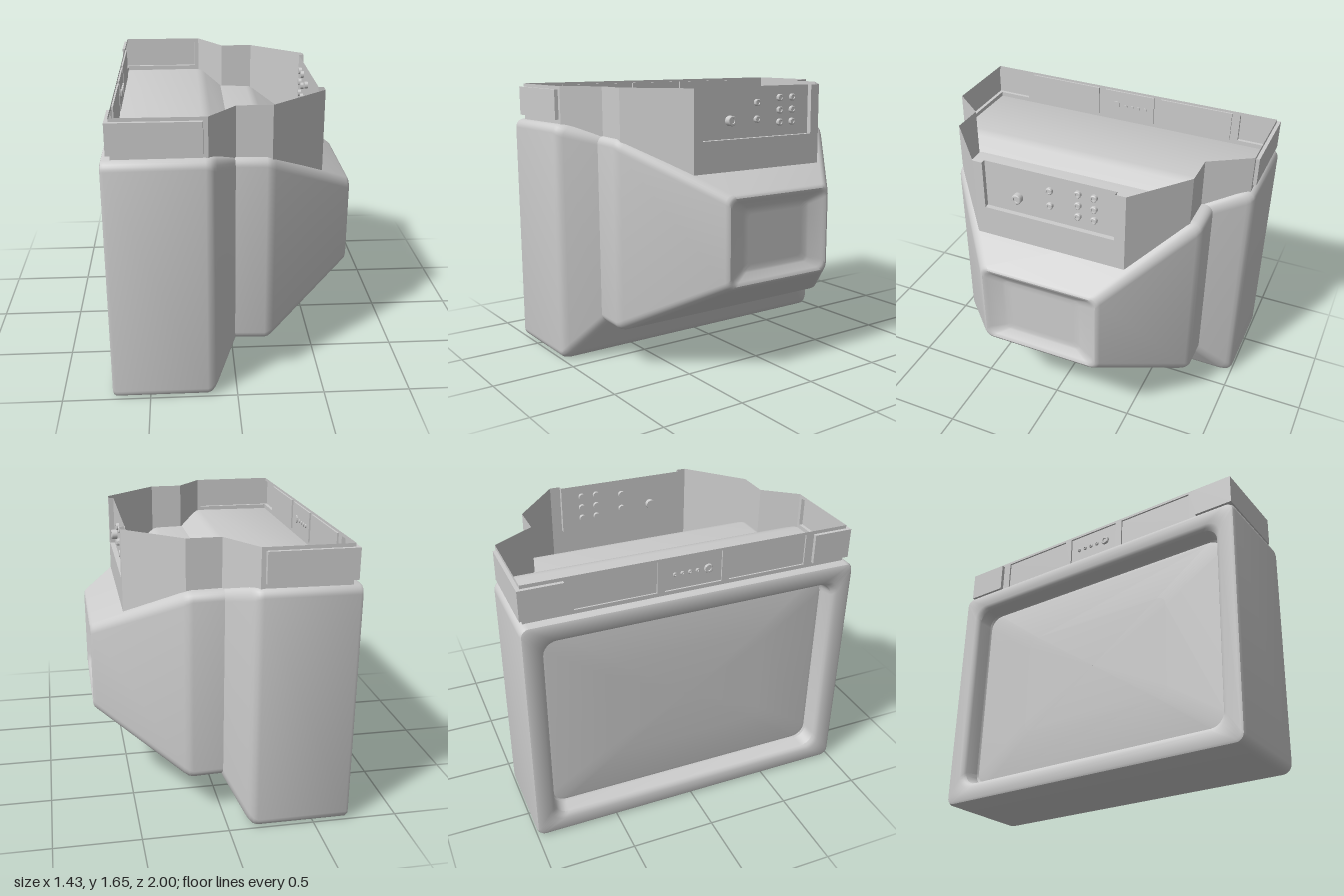
import * as THREE from 'three';
import { toCreasedNormals } from 'three/addons/utils/BufferGeometryUtils.js';

const casing = new THREE.MeshStandardMaterial({ color: 0xcccccc, side: THREE.DoubleSide });
casing.name = 'casing grey';

const TOP = 1.655;
const COVER_LOW = 1.46, COVER_HIGH = 1.635;

function mesh(name, geometry, parent) {
  const m = new THREE.Mesh(geometry, casing);
  m.name = name;
  parent.add(m);
  return m;
}

const toShape = points => new THREE.Shape(points.map(p => new THREE.Vector2(...p)));

// Skin through rounded rectangles [x, yLow, yHigh, halfWidth, cornerRadius]
function loft(sections) {
  const pos = [], index = [], steps = 6, n = 4 * (steps + 1);
  for (const [x, y0, y1, hz, r] of sections) {
    const cy = (y0 + y1) / 2, hy = (y1 - y0) / 2;
    for (let q = 0; q < 4; q++) {
      const sz = q === 0 || q === 3 ? 1 : -1, sy = q < 2 ? 1 : -1;
      for (let i = 0; i <= steps; i++) {
        const t = (q + i / steps) * Math.PI / 2;
        pos.push(x, cy + sy * (hy - r) + r * Math.sin(t), sz * (hz - r) + r * Math.cos(t));
      }
    }
  }
  for (let s = 0; s < sections.length - 1; s++) {
    for (let j = 0; j < n; j++) {
      const a = s * n + j, b = s * n + (j + 1) % n;
      index.push(a, a + n, b, b, a + n, b + n);
    }
  }
  const g = new THREE.BufferGeometry();
  g.setAttribute('position', new THREE.Float32BufferAttribute(pos, 3));
  g.setIndex(index);
  return toCreasedNormals(g, 0.6);
}

// Flat-shaded quads, each given as four corners
function quads(list) {
  const g = new THREE.BufferGeometry();
  const pos = list.flatMap(([a, b, c, d]) => [...a, ...b, ...c, ...a, ...c, ...d]);
  g.setAttribute('position', new THREE.Float32BufferAttribute(pos, 3));
  g.computeVertexNormals();
  return g;
}

// Upright sheet along a plan path of [x, z, bottom, top]
function ribbon(path) {
  return quads(path.slice(1).map(([x, z, low, high], i) => {
    const [px, pz, plow, phigh] = path[i];
    return [[px, plow, pz], [x, low, z], [x, high, z], [px, phigh, pz]];
  }));
}

// Open tray sunk behind local z = 0
function tray(x0, x1, y0, y1, depth) {
  const rim = [[x0, y1], [x0, y0], [x1, y0], [x1, y1]];
  const sides = rim.slice(1).map(([x, y], i) => {
    const [px, py] = rim[i];
    return [[px, py, 0], [x, y, 0], [x, y, -depth], [px, py, -depth]];
  });
  if (y1 < TOP) sides.push([[x1, y1, 0], [x0, y1, 0], [x0, y1, -depth], [x1, y1, -depth]]);
  return quads([...sides, rim.map(([x, y]) => [x, y, -depth])]);
}

// Thin wall facing local +z with sunken panels [x0, x1, y0, y1]
function panelWall(name, outline, panels, depth) {
  const group = new THREE.Group();
  group.name = name;
  const shape = toShape(outline);
  for (const [x0, x1, y0, y1] of panels) {
    if (y1 < TOP) shape.holes.push(toShape([[x0, y0], [x0, y1], [x1, y1], [x1, y0]]));
    mesh('sunkenPanel', tray(x0, x1, y0, y1, depth), group);
  }
  mesh('wallFace', new THREE.ShapeGeometry(shape), group);
  return group;
}

// Round knob along x with a ringed outer face
function knob(parent, x0, x1, y, z, r) {
  const dir = Math.sign(x1 - x0), len = Math.abs(x1 - x0);
  const profile = [[0, 0], [r, 0], [r, len - 0.004], [r - 0.004, len], [r * 0.55, len], [r * 0.5, len - 0.006], [0, len - 0.006]];
  const m = mesh('knob', toCreasedNormals(
    new THREE.LatheGeometry(profile.map(p => new THREE.Vector2(...p)), 16), 0.6), parent);
  m.rotation.z = -dir * Math.PI / 2;
  m.position.set(x0, y, z);
}

export function createModel() {
  const model = new THREE.Group();
  model.name = 'television';

  // Slightly domed screen, bezel and deep front housing
  mesh('frontHousing', loft([
    [-0.625, 0.714, 0.716, 0.001, 0],
    [-0.62, 0.4, 1.03, 0.5, 0.06],
    [-0.605, 0.15, 1.28, 0.845, 0.08],
    [-0.602, 0.135, 1.295, 0.862, 0.08],
    [-0.612, 0.127, 1.303, 0.87, 0.08],
    [-0.69, 0.118, 1.312, 0.88, 0.08],
    [-0.703, 0.108, 1.322, 0.89, 0.08],
    [-0.714, 0.09, 1.34, 0.908, 0.08],
    [-0.714, 0.02, 1.41, 0.98, 0.04],
    [-0.709, 0.008, 1.424, 0.992, 0.045],
    [-0.693, 0, 1.432, 1, 0.05],
    [-0.17, 0, 1.436, 1, 0.05],
    [-0.145, 0.006, 1.434, 0.995, 0.055],
    [-0.125, 0.022, 1.428, 0.98, 0.06],
    [-0.11, 0.045, 1.422, 0.962, 0.06],
    [0.01, 0.25, 1.36, 0.775, 0.05],
  ]), model);

  // Tapered tube cover with a shallow hollow in the rear face
  mesh('rearHousing', loft([
    [-0.02, 0.24, 1.37, 0.795, 0.05],
    [0.17, 0.234, 1.366, 0.795, 0.05],
    [0.195, 0.236, 1.362, 0.788, 0.055],
    [0.22, 0.246, 1.35, 0.772, 0.06],
    [0.695, 0.524, 1.073, 0.386, 0.05],
    [0.708, 0.533, 1.064, 0.375, 0.05],
    [0.713, 0.545, 1.052, 0.362, 0.045],
    [0.709, 0.558, 1.039, 0.348, 0.045],
    [0.703, 0.566, 1.031, 0.338, 0.045],
    [0.672, 0.605, 0.988, 0.255, 0.035],
    [0.667, 0.618, 0.974, 0.238, 0.03],
    [0.667, 0.65, 0.942, 0.2, 0.03],
    [0.667, 0.794, 0.795, 0.001, 0],
  ]), model);

  // Thin side walls [side, front z, waist z, rear z] with raised corner covers
  for (const [side, front, waist, rear] of [[1, 0.952, 0.76, 0.476], [-1, 0.968, 0.722, 0.455]]) {
    const z = side * front, out = side * (front + 0.021), end = side * 0.74;
    mesh('sideWall', ribbon([
      [-0.18, z, 1.4, TOP], [-0.155, z, 1.4, TOP], [0, side * waist, 1.34, TOP],
      [0.2, side * waist, 1.34, TOP], [0.523, side * rear, 1.165, TOP],
    ]), model);
    mesh('wallBelowCover', ribbon([[-0.66, z, 1.4, COVER_LOW], [-0.18, z, 1.4, COVER_LOW]]), model);
    mesh('wallAboveCover', ribbon([[-0.66, z, COVER_HIGH, TOP], [-0.18, z, COVER_HIGH, TOP]]), model);

    mesh('cornerCover', ribbon([
      [-0.18, z], [-0.183, out], [-0.682, out], [-0.682, end], [-0.66, end],
    ].map(p => [...p, COVER_LOW, COVER_HIGH])), model);
    const ledge = new THREE.ShapeGeometry(toShape([
      [-0.18, z], [-0.183, out], [-0.682, out], [-0.682, end], [-0.66, end], [-0.66, z],
    ]));
    ledge.rotateX(Math.PI / 2);
    for (const y of [COVER_LOW, COVER_HIGH]) mesh('coverLedge', ledge, model).position.y = y;
  }

  // Screen-side wall, notched for the covers, with three sunken panels
  const frontWall = panelWall('frontWall', [
    [-0.968, 1.4], [0.952, 1.4], [0.952, COVER_LOW], [0.74, COVER_LOW], [0.74, COVER_HIGH], [0.952, COVER_HIGH],
    [0.952, TOP], [-0.968, TOP], [-0.968, COVER_HIGH], [-0.74, COVER_HIGH], [-0.74, COVER_LOW], [-0.968, COVER_LOW],
  ], [
    [-0.69, -0.22, 1.455, 1.64], [-0.175, 0.165, 1.455, 1.64], [0.21, 0.69, 1.455, 1.64],
  ], 0.01);
  frontWall.rotation.y = -Math.PI / 2;
  frontWall.position.x = -0.66;
  model.add(frontWall);

  // Small buttons and dial on the middle panel
  for (const z of [-0.115, -0.07, -0.025, 0.02]) knob(model, -0.642, -0.658, 1.545, z, 0.012);
  knob(model, -0.642, -0.662, 1.545, 0.085, 0.026);

  // Rear wall with the sunken control panel, open at the top
  const rearWall = panelWall('rearWall', [
    [-0.476, 1.165], [0.455, 1.165], [0.455, TOP], [0.392, TOP],
    [0.392, 1.358], [-0.417, 1.358], [-0.417, TOP], [-0.476, TOP],
  ], [[-0.417, 0.392, 1.358, TOP]], 0.03);
  rearWall.rotation.y = Math.PI / 2;
  rearWall.position.x = 0.523;
  model.add(rearWall);

  // Control knobs and sockets
  knob(model, 0.464, 0.528, 1.463, 0.21, 0.03);
  for (const y of [1.463, 1.56]) knob(model, 0.473, 0.512, y, 0.01, 0.021);
  for (const z of [-0.163, -0.26]) {
    for (const y of [1.438, 1.51, 1.583]) knob(model, 0.473, 0.512, y, z, 0.021);
  }

  return model;
}
